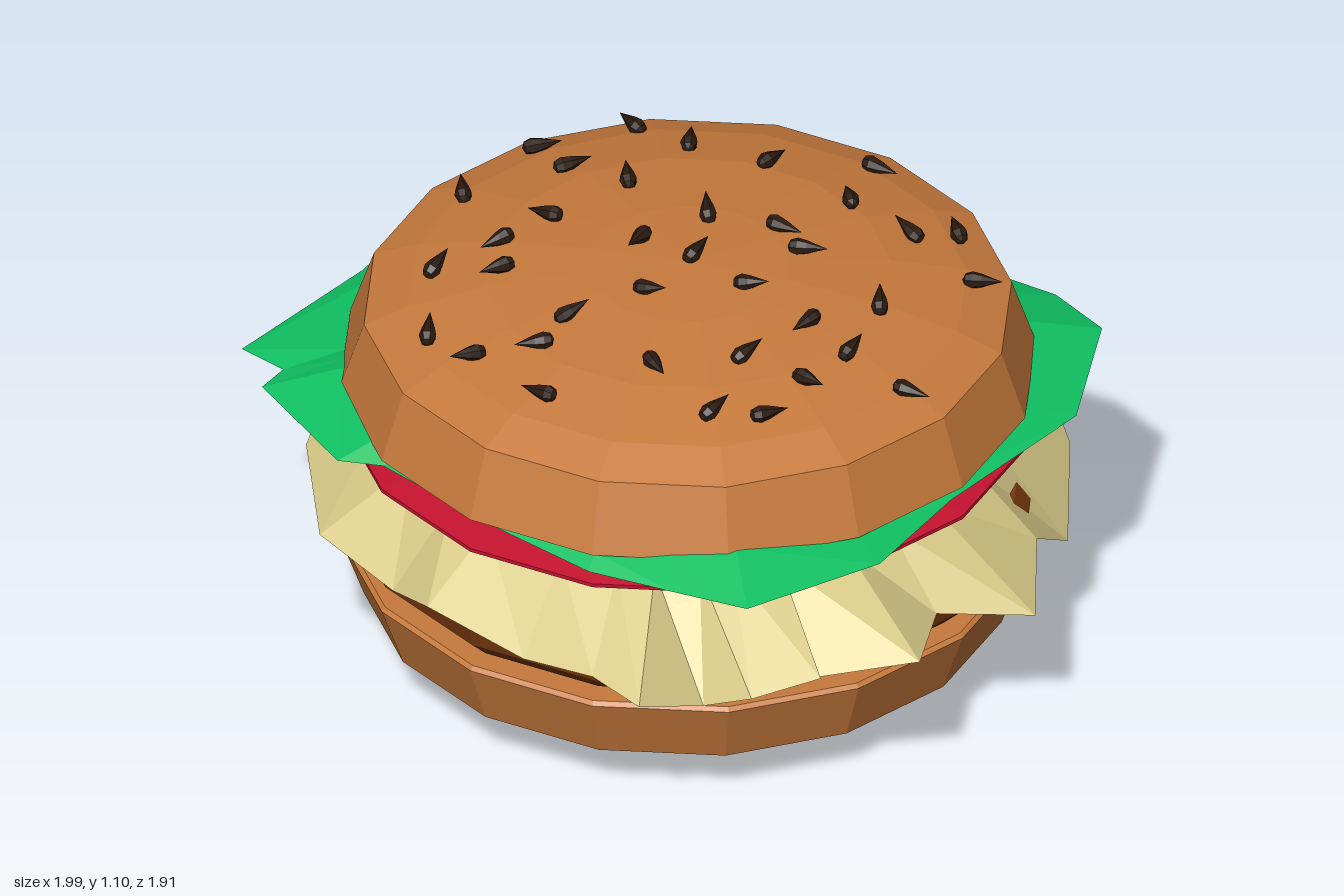
import * as THREE from 'three';

const CX = -0.05, CZ = 0.01; // axis of the stack

const mat = (color, extra = {}) => new THREE.MeshStandardMaterial({ color, flatShading: true, ...extra });

// Sixteen-sided round layer from a [radius, height] profile, bottom to top
function layer(name, profile, material) {
  const points = profile.map(([r, y]) => new THREE.Vector2(r, y));
  const mesh = new THREE.Mesh(new THREE.LatheGeometry(points, 16, -0.06), material);
  mesh.position.set(CX, 0, CZ);
  mesh.name = name;
  return mesh;
}

// Thin sheet: flat disc, inner ring, then an irregular rim of [x, z, y, innerY]
function sheet(name, rim, innerRadius, flatY, material) {
  const inner = rim.map(([x, z, , innerY]) => {
    const dx = x - CX, dz = z - CZ, d = Math.hypot(dx, dz);
    const k = Math.min(innerRadius, d * 0.94) / d;
    return [CX + dx * k, innerY ?? flatY, CZ + dz * k];
  });
  const outer = rim.map(([x, z, y]) => [x, y, z]);
  const centre = [CX, flatY, CZ];
  const v = [];
  for (let i = 0; i < rim.length; i++) {
    const j = (i + 1) % rim.length;
    v.push(...centre, ...inner[i], ...inner[j]);
    v.push(...inner[i], ...outer[i], ...outer[j]);
    v.push(...inner[i], ...outer[j], ...inner[j]);
  }
  const geometry = new THREE.BufferGeometry();
  geometry.setAttribute('position', new THREE.Float32BufferAttribute(v, 3));
  geometry.computeVertexNormals();
  const mesh = new THREE.Mesh(geometry, material);
  mesh.name = name;
  return mesh;
}

export function createModel() {
  const group = new THREE.Group();
  group.name = 'burger';
  const bun = mat(0xc77a3c);

  // Buns
  const dome = [[0.86, 0.76], [0.8, 0.94], [0.69, 0.985], [0.5, 1.03], [0.25, 1.058], [0, 1.065]];
  group.add(layer('topBun', [[0, 0.76], ...dome], bun));
  group.add(layer('bottomBun', [[0, 0], [0.25, 0.01], [0.5, 0.04], [0.69, 0.085], [0.8, 0.14],
    [0.86, 0.31], [0.85, 0.32], [0, 0.32]], bun));

  // Patty and tomato slice
  group.add(layer('patty', [[0, 0.33], [0.8, 0.33], [0.85, 0.38], [0.865, 0.44], [0.83, 0.49],
    [0.75, 0.52], [0, 0.53]], mat(0x7a3a10)));
  group.add(layer('tomato', [[0, 0.63], [0.5, 0.635], [0.76, 0.648], [0.86, 0.665], [0.86, 0.675],
    [0.76, 0.695], [0.5, 0.705], [0, 0.705]], mat(0xc4122f)));

  // Melted cheese, drooping unevenly over the patty
  const cheeseRim = [
    [-0.18, 0.94, 0.51], [0.1, 0.93, 0.46], [0.3, 0.92, 0.48], [0.46, 0.95, 0.47],
    [0.52, 0.76, 0.39], [0.65, 0.74, 0.45], [0.78, 0.63, 0.5], [0.72, 0.58, 0.45],
    [0.93, 0.42, 0.49], [0.82, 0.19, 0.46], [0.99, 0.01, 0.42], [0.82, -0.24, 0.44],
    [0.78, -0.43, 0.31], [0.64, -0.64, 0.43], [0.38, -0.85, 0.5], [0.07, -0.96, 0.43],
    [-0.32, -0.87, 0.5], [-0.64, -0.66, 0.47], [-0.86, -0.4, 0.5], [-0.9, -0.1, 0.48],
    [-0.97, 0.15, 0.54], [-0.85, 0.5, 0.48], [-0.6, 0.8, 0.48], [-0.34, 0.86, 0.45],
  ];
  group.add(sheet('cheese', cheeseRim, 0.72, 0.635, mat(0xd8ca88, { side: THREE.DoubleSide })));

  // Lettuce: two sheets, the upper one with raised ripples
  const lettuceRim = [
    [-0.43, 0.77, 0.735], [-0.1, 0.82, 0.73], [0.24, 0.85, 0.73], [0.46, 0.81, 0.735, 0.77],
    [0.65, 0.76, 0.73, 0.785], [0.81, 0.42, 0.735], [0.8, 0.1, 0.74], [0.84, -0.38, 0.735],
    [0.68, -0.72, 0.74, 0.785], [0.5, -0.78, 0.735, 0.77], [0.3, -0.76, 0.74],
    [-0.1, -0.82, 0.735], [-0.34, -0.87, 0.74], [-0.77, -0.79, 0.735], [-0.98, -0.39, 0.74],
    [-0.96, 0.1, 0.73], [-1, 0.56, 0.74], [-0.87, 0.57, 0.735, 0.77], [-0.87, 0.66, 0.735, 0.785],
    [-0.54, 0.81, 0.73, 0.765],
  ];
  const leaf = mat(0x0fc062, { side: THREE.DoubleSide });
  group.add(sheet('upperLettuce', lettuceRim, 0.84, 0.755, leaf));
  const lowerRim = lettuceRim.map(([x, z, y], i) => [x * 0.98, z * 0.98, y - (i % 3) * 0.006]);
  group.add(sheet('lowerLettuce', lowerRim, 0.8, 0.715, leaf));

  // Teardrop seeds: [x, z, heading of the tip in degrees from +x towards +z]
  const seeds = [
    [0.04, -0.67, -5], [-0.16, -0.5, -85], [-0.38, -0.47, -120], [-0.56, -0.49, 200],
    [0.1, -0.47, 225], [0.36, -0.56, 220], [0.29, -0.46, 190], [0.52, -0.42, -30],
    [-0.7, -0.28, -40], [-0.56, -0.21, -50], [-0.39, -0.22, 230], [-0.13, -0.19, 230],
    [0.05, -0.245, -5], [0.15, -0.2, -25], [0.42, -0.14, 235], [-0.73, 0, 230],
    [-0.46, 0.02, 175], [-0.2, 0, 85], [-0.05, -0.02, -90], [0.13, 0.01, -10],
    [0.33, 0.04, 95], [0.47, 0.06, -95], [0.65, 0.07, -10], [-0.06, 0.17, 0],
    [-0.5, 0.17, 110], [-0.43, 0.27, 115], [-0.59, 0.32, -90], [-0.17, 0.35, -55],
    [-0.17, 0.48, 140], [0.12, 0.4, 30], [0.28, 0.24, -75], [0.45, 0.22, 10],
    [0.44, 0.38, -55], [0.33, 0.45, -80], [-0.45, 0.55, 240], [-0.3, 0.58, 120], [-0.06, 0.62, 175],
  ];
  const domeY = (x, z) => {
    const r = Math.hypot(x - CX, z - CZ);
    const i = dome.findIndex(([radius]) => radius <= r);
    const [r0, y0] = dome[i - 1], [r1, y1] = dome[i];
    return y0 + (y1 - y0) * (r - r0) / (r1 - r0);
  };
  const drop = [[0, -0.04], [0.016, -0.033], [0.022, -0.015], [0.017, 0.008], [0.008, 0.035], [0, 0.06]];
  const seedGeometry = new THREE.LatheGeometry(drop.map(([r, y]) => new THREE.Vector2(r, y)), 7);
  const seedMaterial = mat(0x2a1a10);
  const seedGroup = new THREE.Group();
  seedGroup.name = 'seeds';
  const up = new THREE.Vector3(0, 1, 0);
  seeds.forEach(([x, z, degrees], i) => {
    const a = degrees * Math.PI / 180, dx = Math.cos(a), dz = Math.sin(a);
    const slope = (domeY(x + dx * 0.04, z + dz * 0.04) - domeY(x - dx * 0.04, z - dz * 0.04)) / 0.08;
    const seed = new THREE.Mesh(seedGeometry, seedMaterial);
    seed.name = 'seed';
    seed.position.set(x, domeY(x, z) + 0.014, z);
    seed.quaternion.setFromUnitVectors(up, new THREE.Vector3(dx, slope + (i % 4) * 0.12, dz).normalize());
    seedGroup.add(seed);
  });
  group.add(seedGroup);
  return group;
}
